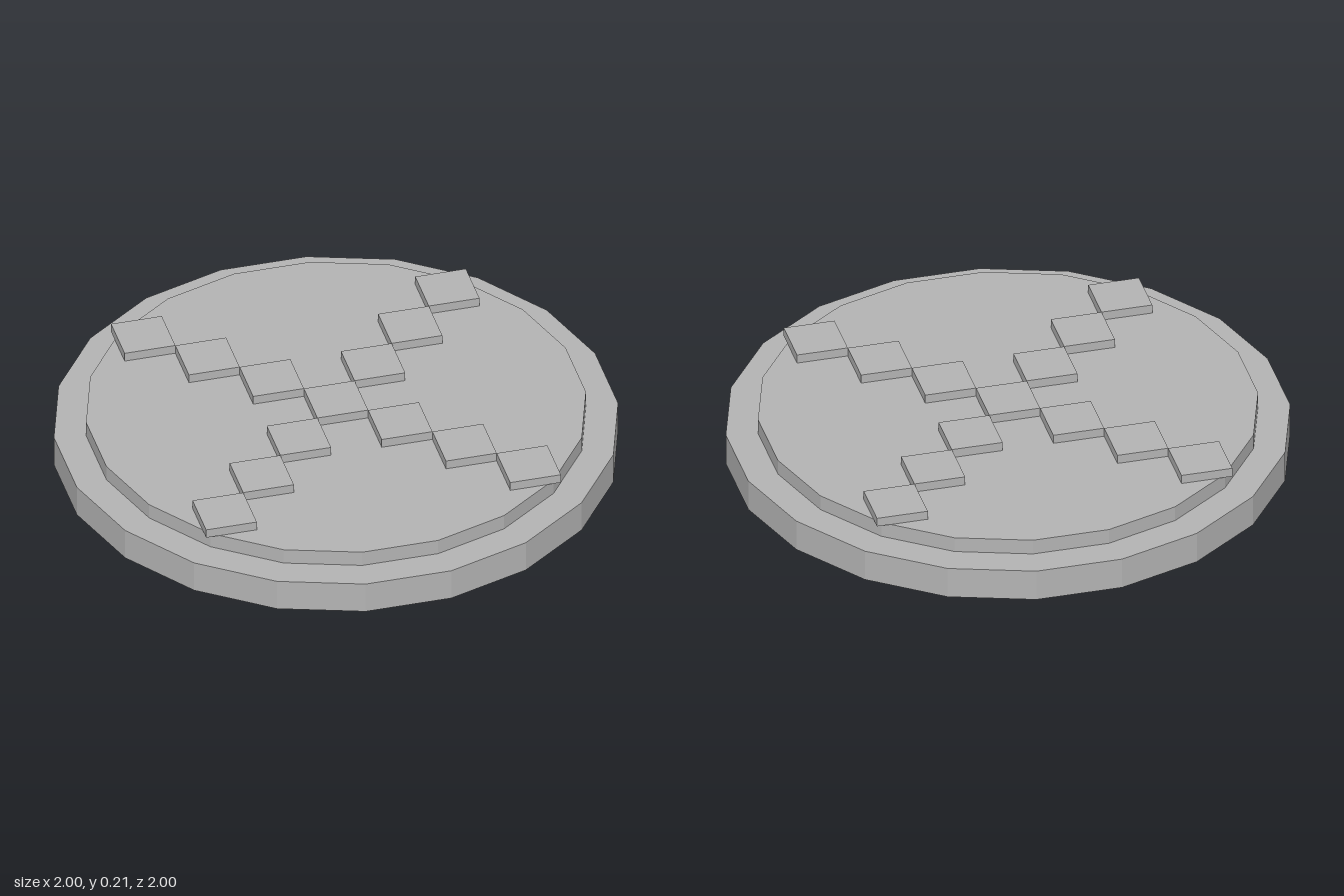
import * as THREE from 'three';

const SIDES = 20;
const CELL = 0.1873; // side of one square tile

export function createModel() {
  const model = new THREE.Group();
  model.name = 'roundPlatform';
  const stone = new THREE.MeshStandardMaterial({ color: 0xb3b3b3, flatShading: true });
  stone.name = 'grey stone';

  // A twenty-sided disc with flat sides facing the axes; reach is centre to flat
  function addDisc(name, reach, bottom, top) {
    const radius = reach / Math.cos(Math.PI / SIDES);
    const geometry = new THREE.CylinderGeometry(radius, radius, top - bottom, SIDES, 1, false, Math.PI / SIDES);
    const disc = new THREE.Mesh(geometry, stone);
    disc.name = name;
    disc.position.y = (bottom + top) / 2;
    model.add(disc);
  }
  addDisc('baseDisc', 1, 0, 0.12);
  addDisc('upperDisc', 0.886, 0.12, 0.178);

  // Diagonal cross of square tiles touching corner to corner
  const cross = new THREE.Group();
  cross.name = 'tileCross';
  const tileGeometry = new THREE.BoxGeometry(CELL, 0.034, CELL);
  function addTile(name, x, z) {
    const tile = new THREE.Mesh(tileGeometry, stone);
    tile.name = name;
    tile.position.set(x * CELL, 0.195, z * CELL);
    cross.add(tile);
  }
  addTile('centreTile', 0, 0);
  for (const sx of [-1, 1]) {
    for (const sz of [-1, 1]) {
      for (let i = 1; i <= 3; i++) addTile('armTile', sx * i, sz * i);
    }
  }
  model.add(cross);
  return model;
}
